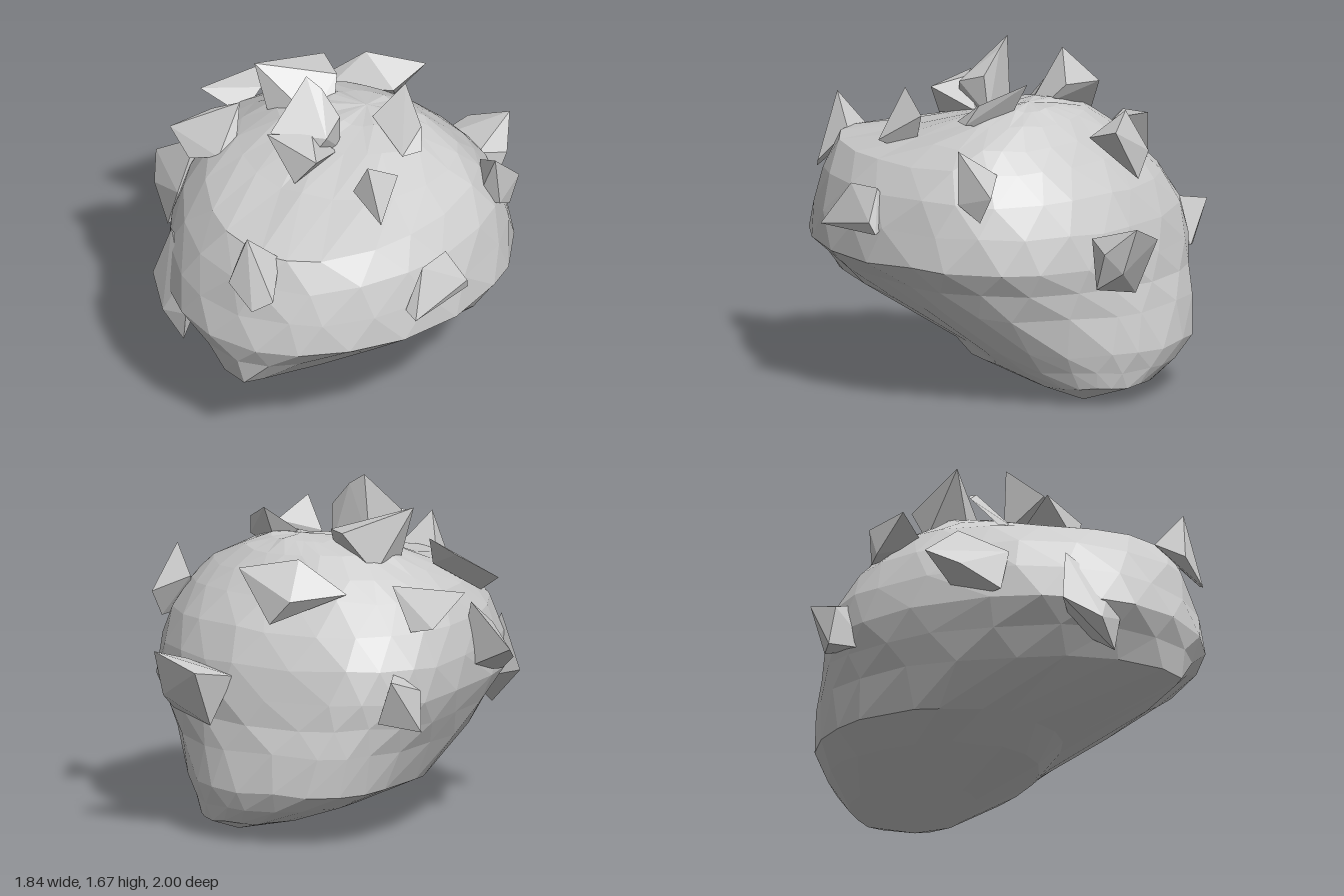
import * as THREE from 'three';
import { ConvexGeometry } from 'three/addons/geometries/ConvexGeometry.js';

const material = new THREE.MeshStandardMaterial({ color: 0xcccccc, flatShading: true, side: THREE.DoubleSide });

// Repeatable unevenness in the range -0.5 to 0.5
const wobble = (n) => {
  const s = Math.sin(n * 127.1) * 43758.5453;
  return s - Math.floor(s) - 0.5;
};

// Boulder: staggered horizontal rings, each with its own extents, pivot and corner fullness
function boulderGeometry() {
  const SEG = 22;
  // [left x, right x, back z, front z], [pivot x, pivot z],
  // fullness of [back left, back right, front left, front right]: 1 straight, 2 round, more is squarer
  const rings = [
    { y: 0.09, ext: [-0.05, 0.48, -0.86, -0.24], mid: [0.2, -0.56], full: [2.4, 1.9, 2, 2] },
    { y: 0.17, ext: [-0.31, 0.55, -0.91, 0.13], mid: [0.1, -0.42], full: [2.7, 2, 2, 1.6] },
    { y: 0.26, ext: [-0.51, 0.63, -0.94, 0.27], mid: [0.05, -0.3], full: [2.7, 2, 2, 1.4] },
    { y: 0.45, ext: [-0.6, 0.77, -0.91, 0.92], mid: [-0.03, -0.1], full: [2.7, 2.05, 1.6, 1.15] },
    { y: 0.58, ext: [-0.66, 0.84, -0.87, 0.95], mid: [0.02, -0.08], full: [2.9, 2, 1.9, 1.45] },
    { y: 0.7, ext: [-0.71, 0.92, -0.85, 0.98], mid: [0.05, -0.05], full: [3, 2, 2.2, 1.8] },
    { y: 0.86, ext: [-0.71, 0.89, -0.81, 0.94], mid: [0.07, -0.06], full: [3, 2, 2.2, 1.85] },
    { y: 1.02, ext: [-0.67, 0.84, -0.73, 0.9], mid: [0.06, -0.08], full: [2.6, 2, 2, 1.85] },
    { y: 1.16, ext: [-0.58, 0.74, -0.61, 0.83], mid: [0.07, -0.1], full: [2.3, 2, 1.8, 1.8] },
    { y: 1.25, ext: [-0.46, 0.63, -0.52, 0.4], mid: [0.06, -0.12], full: [2.2, 2, 2, 2] },
    { y: 1.34, ext: [-0.3, 0.46, -0.42, 0.12], mid: [0.1, -0.16], full: [2, 2, 2, 2] },
    { y: 1.39, ext: [-0.05, 0.3, -0.32, -0.05], mid: [0.13, -0.2], full: [2, 2, 2, 2] },
  ];
  const pos = [];
  rings.forEach(({ y, ext, mid, full }, i) => {
    for (let j = 0; j < SEG; j++) {
      const k = i * SEG + j + 1;
      const a = ((j + (i % 2) * 0.5 + wobble(k) * 0.4) / SEG) * Math.PI * 2;
      const c = Math.cos(a), s = Math.sin(a);
      const right = c > 0 ? 1 : 0, front = s > 0 ? 1 : 0;
      const power = 2 / full[front * 2 + right];
      pos.push(
        mid[0] + (ext[right] - mid[0]) * Math.abs(c) ** power,
        y + wobble(k + 500) * 0.02,
        mid[1] + (ext[2 + front] - mid[1]) * Math.abs(s) ** power,
      );
    }
  });
  const bottom = pos.length / 3, top = bottom + 1;
  pos.push(0.3, 0, -0.58, 0.14, 1.405, -0.2);

  const index = [];
  const last = rings.length - 1;
  for (let j = 0; j < SEG; j++) {
    const n = (j + 1) % SEG;
    index.push(bottom, j, n, top, last * SEG + n, last * SEG + j);
    for (let i = 0; i < last; i++) {
      const a = i * SEG + j, b = i * SEG + n, u = a + SEG, v = b + SEG;
      if (i % 2) index.push(a, u, v, a, v, b);
      else index.push(a, u, b, u, v, b);
    }
  }
  const geo = new THREE.BufferGeometry();
  geo.setAttribute('position', new THREE.Float32BufferAttribute(pos, 3));
  geo.setIndex(index);
  const flat = geo.toNonIndexed();
  flat.computeVertexNormals();
  return flat;
}

export function createModel() {
  const group = new THREE.Group();
  const add = (name, geometry) => {
    const mesh = new THREE.Mesh(geometry, material);
    mesh.name = name;
    group.add(mesh);
  };
  // Shard: a faceted chip spanning a few corners, its root sunk in the boulder
  const shard = (name, ...corners) =>
    add(name, new ConvexGeometry(corners.map((p) => new THREE.Vector3(...p))));

  add('boulder', boulderGeometry());

  // Shards along the top
  shard('noseShard', [-0.01, 1.32, 0.92], [-0.09, 1.06, 0.96], [0.05, 0.95, 1.0],
    [0.14, 1.0, 0.95], [0.11, 1.16, 0.8], [-0.09, 1.15, 0.8]);
  shard('crownShardRear', [-0.08, 1.67, 0.03], [0.0, 1.62, 0.03], [0.11, 1.5, 0.06], [0.1, 1.3, 0.04],
    [-0.11, 1.32, 0.03], [-0.17, 1.46, 0.26], [0.1, 1.46, 0.2], [0, 1.3, 0.25]);
  shard('crownShardFront', [-0.18, 1.46, 0.28], [0.0, 1.27, 0.36], [0.11, 1.42, 0.35],
    [0.11, 1.32, 0.1], [-0.1, 1.3, 0.1], [0.02, 1.47, 0.2]);
  shard('crownLeftShard', [-0.41, 1.56, -0.1], [-0.33, 1.3, -0.08], [-0.1, 1.33, -0.08],
    [-0.03, 1.36, -0.2], [-0.18, 1.47, -0.42], [-0.3, 1.26, -0.3], [-0.06, 1.46, -0.3]);
  shard('crownRightShard', [0.31, 1.53, -0.28], [0.2, 1.4, -0.13], [0.43, 1.34, 0.04],
    [0.5, 1.34, -0.04], [0.47, 1.44, -0.1], [0.3, 1.3, -0.15]);
  shard('rightBrowShard', [0.38, 1.47, 0.35], [0.49, 1.22, 0.44], [0.3, 1.3, 0.34],
    [0.48, 1.36, 0.21], [0.42, 1.15, 0.28]);
  shard('backTopShard', [0.23, 1.32, -0.72], [-0.05, 1.37, -0.63], [-0.27, 1.2, -0.55],
    [-0.2, 1.2, -0.48], [0.14, 1.26, -0.53], [0.05, 1.06, -0.75], [-0.06, 1.18, -0.75]);

  // Shards on the +x side
  shard('rightFrontShard', [0.77, 1.05, 0.3], [0.88, 0.9, 0.29], [0.87, 0.84, 0.26],
    [0.75, 0.84, 0.62], [0.68, 0.86, 0.58], [0.72, 1.05, 0.47], [0.68, 0.9, 0.25]);
  shard('rightRearShard', [0.83, 1.29, -0.17], [0.87, 1.08, -0.37], [0.85, 1.03, -0.18],
    [0.69, 1.16, -0.31], [0.72, 1.0, -0.2], [0.85, 0.95, -0.3]);
  shard('backRightShard', [0.33, 0.84, -1.0], [0.55, 0.93, -1.0], [0.6, 0.8, -0.85],
    [0.5, 0.85, -0.73], [0.22, 0.8, -0.8], [0.55, 0.61, -0.78], [0.31, 0.56, -0.87],
    [0.54, 0.7, -0.92]);

  // Shards on the -x side
  shard('leftShard', [-0.92, 0.9, -0.08], [-0.67, 1.1, 0.0], [-0.72, 0.73, 0.24],
    [-0.66, 0.95, 0.26], [-0.6, 0.75, 0.0], [-0.86, 0.83, 0.08]);
  shard('leftBrowShard', [-0.77, 1.21, 0.1], [-0.44, 1.39, 0.01], [-0.42, 1.25, 0.09],
    [-0.47, 1.18, 0.2], [-0.63, 1.12, 0.19], [-0.58, 1.32, 0.02]);
  shard('leftRearShard', [-0.76, 1.2, -0.25], [-0.5, 1.26, -0.52], [-0.48, 1.22, -0.35],
    [-0.53, 1.12, -0.23], [-0.67, 1.04, -0.42], [-0.58, 1.03, -0.48]);
  shard('backLeftShard', [-0.72, 0.58, -0.65], [-0.62, 0.84, -0.78], [-0.53, 0.62, -0.74],
    [-0.54, 0.85, -0.58], [-0.7, 0.78, -0.62], [-0.55, 0.6, -0.5]);
  shard('leftFrontShard', [-0.58, 0.94, 0.52], [-0.67, 0.66, 0.54], [-0.55, 0.58, 0.7],
    [-0.43, 0.45, 0.72], [-0.41, 0.62, 0.74], [-0.45, 0.78, 0.7], [-0.42, 0.6, 0.5]);

  return group;
}
